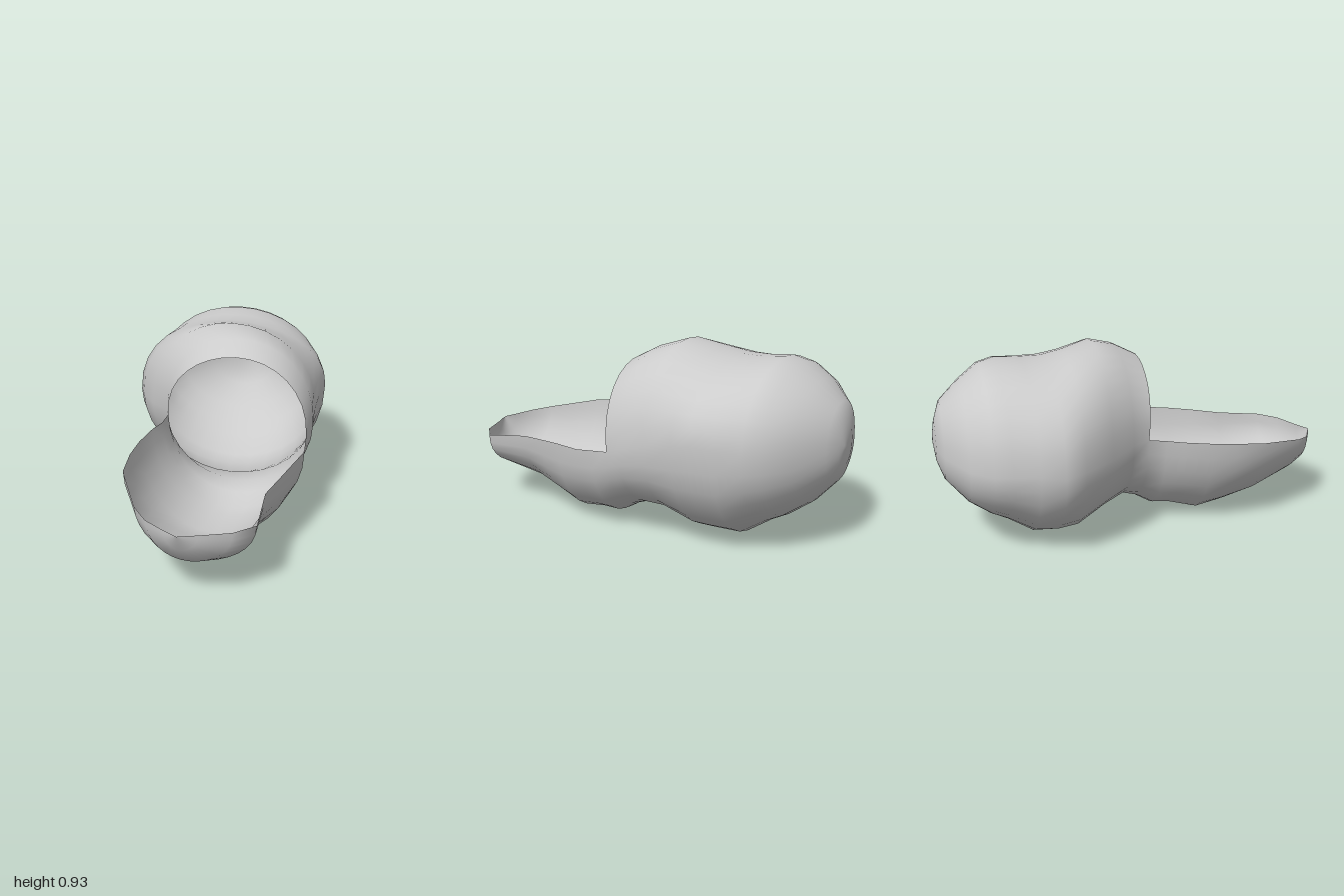
import * as THREE from 'three';

// Cross-sections from back to front:
// z, xMin, xMax, yMin, yMax, side height at -x, side height at +x
const SECTIONS = [
  [-1.00, 0.01, 0.05, 0.48, 0.52, 0.50, 0.50],
  [-0.99, -0.09, 0.09, 0.40, 0.60, 0.49, 0.50],
  [-0.96, -0.21, 0.17, 0.32, 0.70, 0.48, 0.50],
  [-0.86, -0.37, 0.32, 0.21, 0.79, 0.46, 0.51],
  [-0.76, -0.44, 0.42, 0.14, 0.86, 0.45, 0.52],
  [-0.68, -0.46, 0.45, 0.10, 0.88, 0.45, 0.52],
  [-0.56, -0.49, 0.49, 0.02, 0.87, 0.45, 0.53],
  [-0.45, -0.52, 0.51, 0.02, 0.87, 0.44, 0.54],
  [-0.35, -0.48, 0.49, 0.02, 0.89, 0.45, 0.52],
  [-0.20, -0.39, 0.48, 0.09, 0.93, 0.46, 0.49],
  [-0.07, -0.28, 0.485, 0.11, 0.89, 0.48, 0.46],
  [0.015, -0.25, 0.46, 0.08, 0.83, 0.49, 0.43],
  // the open front half starts here
  [0.10, -0.26, 0.465, 0.03, 0, 0.48, 0.425],
  [0.18, -0.29, 0.47, 0.03, 0, 0.475, 0.42],
  [0.32, -0.32, 0.43, 0.0, 0, 0.465, 0.415],
  [0.45, -0.33, 0.39, 0.04, 0, 0.455, 0.405],
  [0.60, -0.32, 0.34, 0.09, 0, 0.44, 0.39],
  [0.84, -0.20, 0.34, 0.16, 0, 0.395, 0.36],
  [0.92, -0.13, 0.25, 0.20, 0, 0.38, 0.36],
  [0.97, -0.04, 0.11, 0.28, 0, 0.37, 0.36],
  [1.00, 0.02, 0.03, 0.362, 0, 0.365, 0.363],
];
const MOUTH = 11;   // index of the last closed section
const HALF = 16;    // segments in half a ring
const RING = HALF * 2;
// fullness of each quarter: lower -x, lower +x, upper +x, upper -x
const FULLNESS = [1.04, 0.9, 0.92, 0.88];

function shellGeometry() {
  const positions = [];
  const indices = [];
  SECTIONS.forEach(([z, x0, x1, y0, y1, sideA, sideB], i) => {
    for (let j = 0; j < RING; j++) {
      // lower half runs -x to +x, upper half runs back
      const t = (j / RING) * Math.PI * 2;
      const f = (1 - Math.cos(t)) / 2;
      const side = sideA + (sideB - sideA) * f;
      const bulge = Math.abs(Math.sin(t)) ** FULLNESS[Math.floor((j * 4) / RING)];
      const upper = j > HALF;
      const y = side + ((upper ? y1 : y0) - side) * bulge;
      // the mouth edge leans forward at the top
      const lean = upper && i === MOUTH ? 0.03 * bulge : 0;
      positions.push(x0 + (x1 - x0) * f, y, z + lean);
    }
  });
  for (let i = 0; i < SECTIONS.length - 1; i++) {
    const count = i < MOUTH ? RING : HALF;
    for (let j = 0; j < count; j++) {
      const a = i * RING + j;
      const b = i * RING + ((j + 1) % RING);
      indices.push(a, b, a + RING, b, b + RING, a + RING);
    }
  }
  // close the back pole
  for (let j = 1; j < RING - 1; j++) indices.push(0, j + 1, j);

  const geometry = new THREE.BufferGeometry();
  geometry.setAttribute('position', new THREE.Float32BufferAttribute(positions, 3));
  geometry.setIndex(indices);
  geometry.computeVertexNormals();
  return geometry;
}

export function createModel() {
  const group = new THREE.Group();
  group.name = 'openShell';
  const material = new THREE.MeshStandardMaterial({ color: 0xcccccc, side: THREE.DoubleSide });
  // rounded closed back running into an open scoop
  const shell = new THREE.Mesh(shellGeometry(), material);
  shell.name = 'shell';
  group.add(shell);
  return group;
}
